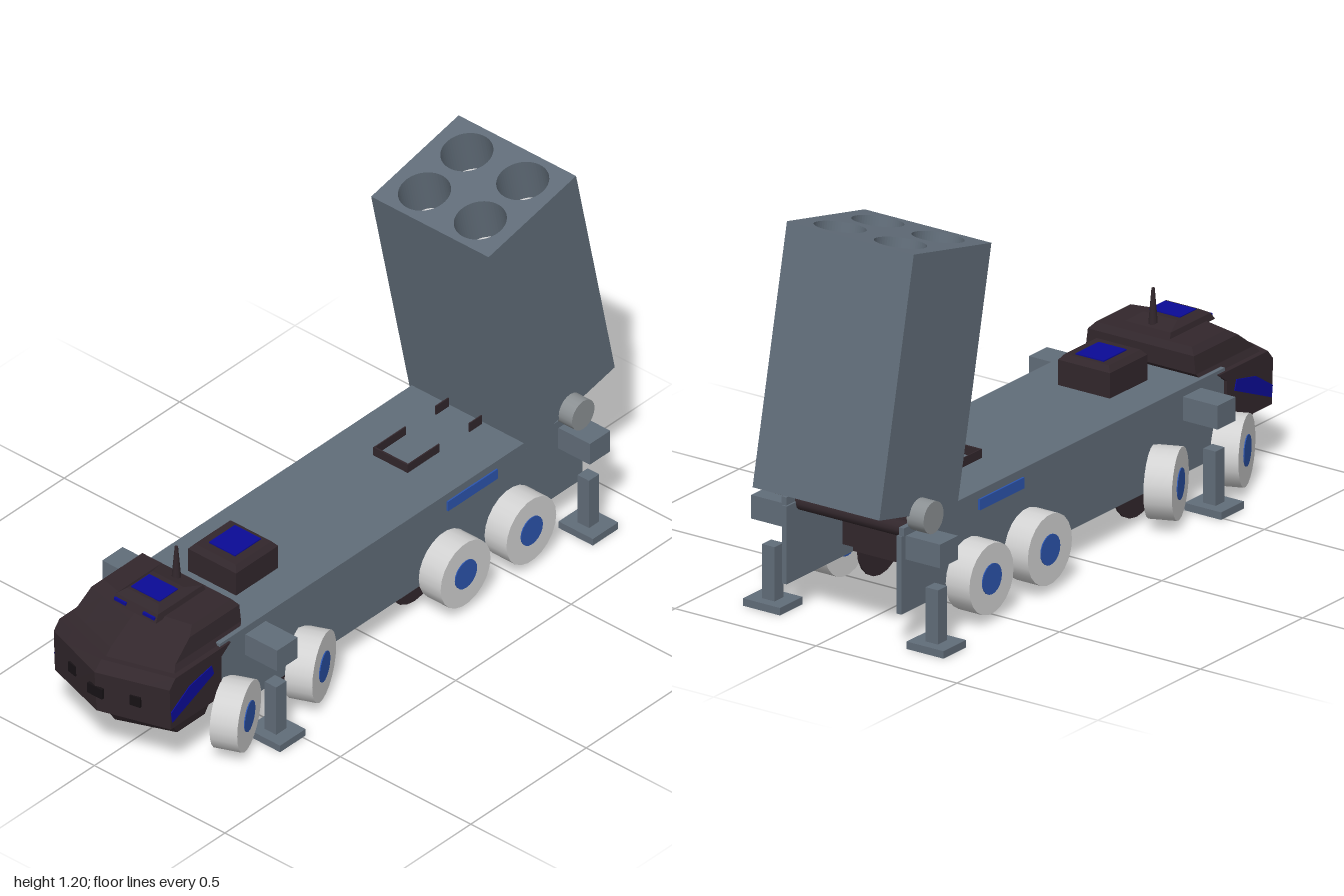
import * as THREE from 'three';

const mat = (name, color, extra = {}) => Object.assign(new THREE.MeshStandardMaterial({ color, ...extra }), { name });

export function createModel() {
  const model = new THREE.Group();
  model.name = 'launcherTruck';
  const steel = mat('slateGrey', 0x616d79);
  const dark = mat('darkBrown', 0x32272c);
  const tyre = mat('lightGrey', 0xd2d2d2);
  const hubBlue = mat('hubBlue', 0x2c55ae);
  const glass = mat('deepBlue', 0x0b0b96);
  const pin = mat('midGrey', 0x8c9194);
  const black = mat('nearBlack', 0x171215);

  const add = (name, geo, m, x = 0, y = 0, z = 0, parent = model) => {
    const mesh = new THREE.Mesh(geo, m);
    mesh.name = name;
    mesh.position.set(x, y, z);
    parent.add(mesh);
    return mesh;
  };
  // box given by its ranges
  const box = (name, m, [x0, x1], [y0, y1], [z0, z1], parent) =>
    add(name, new THREE.BoxGeometry(x1 - x0, y1 - y0, z1 - z0), m,
      (x0 + x1) / 2, (y0 + y1) / 2, (z0 + z1) / 2, parent);
  const axle = (r, w, n) => new THREE.CylinderGeometry(r, r, w, n).rotateZ(Math.PI / 2);

  // flat-faced skin over horizontal loops of [x, z], listed from bottom to top
  const loft = (levels) => {
    const pos = [];
    const tri = (...p) => p.forEach((v) => pos.push(...v));
    const rings = levels.map(({ y, pts }) => pts.map(([x, z]) => [x, y, z]));
    const n = rings[0].length;
    for (let i = 0; i < rings.length - 1; i++) {
      for (let j = 0; j < n; j++) {
        const k = (j + 1) % n;
        const [a, b, c, d] = [rings[i][j], rings[i][k], rings[i + 1][j], rings[i + 1][k]];
        tri(a, c, b);
        tri(b, c, d);
      }
    }
    const top = rings[rings.length - 1];
    for (let j = 1; j < n - 1; j++) {
      tri(rings[0][0], rings[0][j], rings[0][j + 1]);
      tri(top[0], top[j + 1], top[j]);
    }
    const geo = new THREE.BufferGeometry();
    geo.setAttribute('position', new THREE.Float32BufferAttribute(pos, 3));
    geo.computeVertexNormals();
    return geo;
  };
  const rect = (y, w, z0, z1) => ({ y, pts: [[w, z0], [w, z1], [-w, z1], [-w, z0]] });

  // chassis: deck over two side plates with a dark belly between
  box('deck', steel, [-0.215, 0.215], [0.345, 0.37], [-0.63, 0.7]);
  box('belly', dark, [-0.16, 0.16], [0.13, 0.342], [-0.6, 0.72]);
  box('rearGearbox', dark, [-0.11, 0.11], [0.2, 0.32], [-0.72, -0.6]);
  add('tiltShaft', axle(0.025, 0.42, 12), dark, 0, 0.34, -0.805);
  for (const s of [-1, 1]) {
    const side = (a, b) => (s > 0 ? [a, b] : [-b, -a]);
    box('sidePlate', steel, side(0.195, 0.212), [0.105, 0.345], [-0.875, 0.7]);
    box('sideRail', steel, side(0.2, 0.217), [0.345, 0.37], [-0.87, -0.63]);
    box('sideStripe', hubBlue, side(0.211, 0.219), [0.31, 0.344], [-0.5, -0.285]);
    add('pivotPin', axle(0.049, 0.06, 20), pin, s * 0.246, 0.397, -0.806);

    // outriggers
    for (const z of [0.543, -0.812]) {
      box('outriggerArm', steel, side(0.2, 0.335), [0.27, 0.343], [z - 0.044, z + 0.044]);
      box('outriggerLeg', steel, side(0.268, 0.312), [0.02, 0.19], [z - 0.022, z + 0.022]);
      box('outriggerFoot', steel, side(0.225, 0.356), [0, 0.023], [z - 0.055, z + 0.055]);
    }

    // road wheels, the front two axles steered
    for (const [z, turn] of [[0.68, 0.4], [0.355, 0.4], [-0.27, 0], [-0.555, 0]]) {
      const wheel = new THREE.Group();
      wheel.name = 'wheel';
      wheel.position.set(s * 0.257, 0.135, z);
      wheel.rotation.y = turn;
      model.add(wheel);
      add('tyre', axle(0.108, 0.084, 22), tyre, 0, 0, 0, wheel);
      add('hub', axle(0.047, 0.09, 20), hubBlue, 0, 0, 0, wheel);
    }
    // dark inner discs
    for (const z of [0.335, -0.2, -0.465]) add('innerDisc', axle(0.108, 0.006, 20), dark, s * 0.163, 0.122, z);
  }

  // tilted launcher block with four open tubes
  const launcher = new THREE.Group();
  launcher.name = 'launcher';
  launcher.position.set(0, 0.781, -0.7265);
  launcher.rotation.x = 0.2155;
  model.add(launcher);
  const [W, L, D] = [0.225, 0.781, 0.194];
  const outline = new THREE.Shape([[-W, -D], [W, -D], [W, D], [-W, D]].map((p) => new THREE.Vector2(...p)));
  for (const x of [-0.107, 0.107]) {
    for (const z of [-0.094, 0.094]) {
      outline.holes.push(new THREE.Path().absarc(x, z, 0.077, 0, Math.PI * 2, true));
      add('missile', new THREE.CylinderGeometry(0.077, 0.077, L - 0.15, 28), tyre, x, -0.07, z, launcher);
    }
  }
  const block = new THREE.ExtrudeGeometry(outline, { depth: L, bevelEnabled: false, curveSegments: 28 });
  add('launcherBlock', block.rotateX(-Math.PI / 2), steel, 0, -L / 2, 0, launcher);
  box('launcherBase', steel, [-W, W], [-L / 2 - 0.004, -L / 2 + 0.003], [-D, D], launcher);

  // cab with a pointed nose
  const cabLevel = (y, w, back, side, nose) => {
    const mid = side + (nose - side) * 0.3;
    return { y, pts: [[w, back], [w, side], [w * 0.7, mid], [0, nose], [-w * 0.7, mid], [-w, side], [-w, back]] };
  };
  add('cab', loft([
    cabLevel(0.115, 0.175, 0.72, 0.84, 0.91),
    cabLevel(0.185, 0.19, 0.7, 0.89, 0.96),
    cabLevel(0.19, 0.222, 0.7, 0.92, 0.99),
    cabLevel(0.33, 0.222, 0.7, 0.925, 1),
    cabLevel(0.36, 0.222, 0.66, 0.9, 0.97),
  ]), dark);
  add('cabRoof', loft([
    cabLevel(0.36, 0.205, 0.6, 0.885, 0.95),
    cabLevel(0.38, 0.195, 0.585, 0.87, 0.93),
    cabLevel(0.435, 0.188, 0.585, 0.8, 0.845),
    cabLevel(0.455, 0.17, 0.6, 0.77, 0.81),
  ]), dark);
  add('hatch', loft([rect(0.45, 0.085, 0.61, 0.83), rect(0.472, 0.08, 0.62, 0.815), rect(0.487, 0.06, 0.68, 0.79)]), dark);
  box('hatchWindow', glass, [-0.055, 0.055], [0.483, 0.49], [0.7, 0.78]);
  for (const x of [-0.055, 0.055]) box('hatchLamp', glass, [x - 0.022, x + 0.022], [0.457, 0.466], [0.822, 0.829]);
  add('antenna', new THREE.CylinderGeometry(0.005, 0.017, 0.14, 10), dark, 0, 0.514, 0.645);

  // cab side windows
  const pane = new THREE.Shape([[-0.92, 0.25], [-0.915, 0.213], [-0.735, 0.29], [-0.745, 0.322], [-0.84, 0.302]]
    .map((p) => new THREE.Vector2(...p)));
  const paneGeo = new THREE.ExtrudeGeometry(pane, { depth: 0.006, bevelEnabled: false }).rotateY(Math.PI / 2);
  for (const x of [0.219, -0.225]) add('sideWindow', paneGeo, glass, x, 0, 0);

  // nose openings
  for (const [x, w, z, turn] of [[-0.12, 0.034, 0.957, -0.21], [0, 0.056, 0.995, 0], [0.12, 0.034, 0.957, 0.21]]) {
    add('noseSlot', new THREE.BoxGeometry(w, 0.034, 0.009), black, x, 0.263, z).rotation.y = turn;
  }

  // deck equipment box
  add('deckBox', loft([rect(0.365, 0.092, 0.308, 0.49), rect(0.448, 0.092, 0.308, 0.49), rect(0.465, 0.078, 0.322, 0.476)]), dark);
  box('deckBoxPanel', glass, [-0.05, 0.05], [0.461, 0.469], [0.335, 0.447]);

  // thin deck brackets
  box('bracketFront', dark, [-0.07, 0.062], [0.37, 0.398], [-0.293, -0.287]);
  for (const x of [-0.07, 0.058]) box('bracketSide', dark, [x, x + 0.004], [0.37, 0.398], [-0.425, -0.287]);
  for (const x of [-0.07, 0.058]) box('rearBracket', dark, [x, x + 0.004], [0.37, 0.4], [-0.61, -0.555]);
  return model;
}
